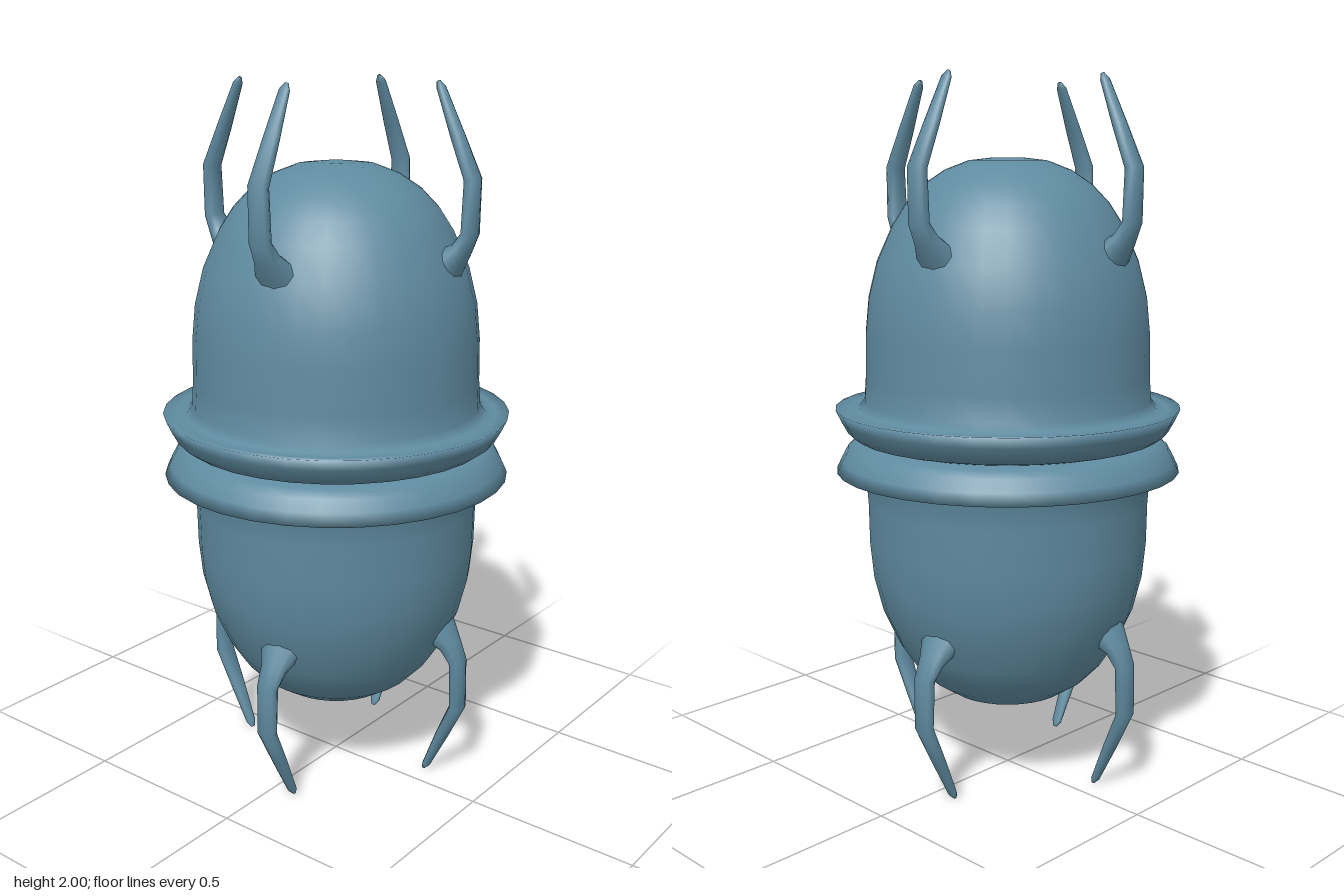
import * as THREE from 'three';

const shell = new THREE.MeshStandardMaterial({ color: 0x5f8ba0 });
shell.name = 'steelBlue';

// Half of the capsule: [radius, height above the middle], from seam to pole
const HALF_PROFILE = [
  [0.405, 0.0], [0.435, 0.008], [0.458, 0.025], [0.476, 0.058], [0.491, 0.09],
  [0.455, 0.085], [0.425, 0.088], [0.409, 0.11], [0.404, 0.18], [0.402, 0.3],
  [0.392, 0.4], [0.367, 0.5], [0.322, 0.6], [0.283, 0.66], [0.235, 0.71],
  [0.175, 0.75], [0.11, 0.775], [0.05, 0.782], [0, 0.783],
];

// Claw sections from root to tip: radius, height, half width, half thickness, sideways shift
const CLAW = [
  [0.27, 0.47, 0.085, 0.07, -0.012],
  [0.33, 0.53, 0.062, 0.045, -0.006],
  [0.366, 0.57, 0.041, 0.027, 0],
  [0.392, 0.615, 0.034, 0.021, 0],
  [0.396, 0.755, 0.031, 0.021, 0],
  [0.345, 0.865, 0.024, 0.018, 0],
  [0.292, 0.982, 0.016, 0.011, 0],
  [0.283, 0.998, 0.006, 0.005, 0],
];

// Upper or lower body half; the lower one is listed in reverse to keep faces outward
function bodyGeometry(side) {
  const pts = HALF_PROFILE.map(([r, h]) => new THREE.Vector2(r, 1 + side * h));
  if (side < 0) pts.reverse();
  return new THREE.LatheGeometry(pts, 32);
}

// Oval sections swept along the bent path
function clawGeometry(side) {
  const N = 10, pos = [], idx = [];
  CLAW.forEach(([r, h, w, t, shift], i) => {
    const a = CLAW[Math.max(i - 1, 0)], b = CLAW[Math.min(i + 1, CLAW.length - 1)];
    const d = new THREE.Vector2(b[0] - a[0], b[1] - a[1]).normalize();
    for (let j = 0; j < N; j++) {
      const ang = (j / N) * Math.PI * 2;
      const c = Math.cos(ang) * w, s = Math.sin(ang) * t;
      pos.push(0.066 + shift + c, 1 + side * (h + s * d.x), r - s * d.y);
    }
  });
  const tri = (a, b, c) => (side > 0 ? idx.push(a, b, c) : idx.push(a, c, b));
  for (let i = 0; i < CLAW.length - 1; i++) {
    for (let j = 0; j < N; j++) {
      const k = (j + 1) % N, p = i * N, q = p + N;
      tri(p + j, p + k, q + k);
      tri(p + j, q + k, q + j);
    }
  }
  // tip cap
  const last = (CLAW.length - 1) * N;
  for (let j = 1; j < N - 1; j++) tri(last, last + j, last + j + 1);

  const g = new THREE.BufferGeometry();
  g.setAttribute('position', new THREE.Float32BufferAttribute(pos, 3));
  g.setIndex(idx);
  g.computeVertexNormals();
  return g;
}

export function createModel() {
  const model = new THREE.Group();
  model.name = 'clawedCapsule';

  for (const [side, label] of [[1, 'upper'], [-1, 'lower']]) {
    const half = new THREE.Group();
    half.name = label + 'Half';

    const body = new THREE.Mesh(bodyGeometry(side), shell);
    body.name = label + 'Shell';
    half.add(body);

    // Four claws around the dome
    const geo = clawGeometry(side);
    ['Front', 'Left', 'Back', 'Right'].forEach((place, i) => {
      const claw = new THREE.Mesh(geo, shell);
      claw.name = label + place + 'Claw';
      claw.rotation.y = (i * Math.PI) / 2;
      half.add(claw);
    });
    model.add(half);
  }
  return model;
}
